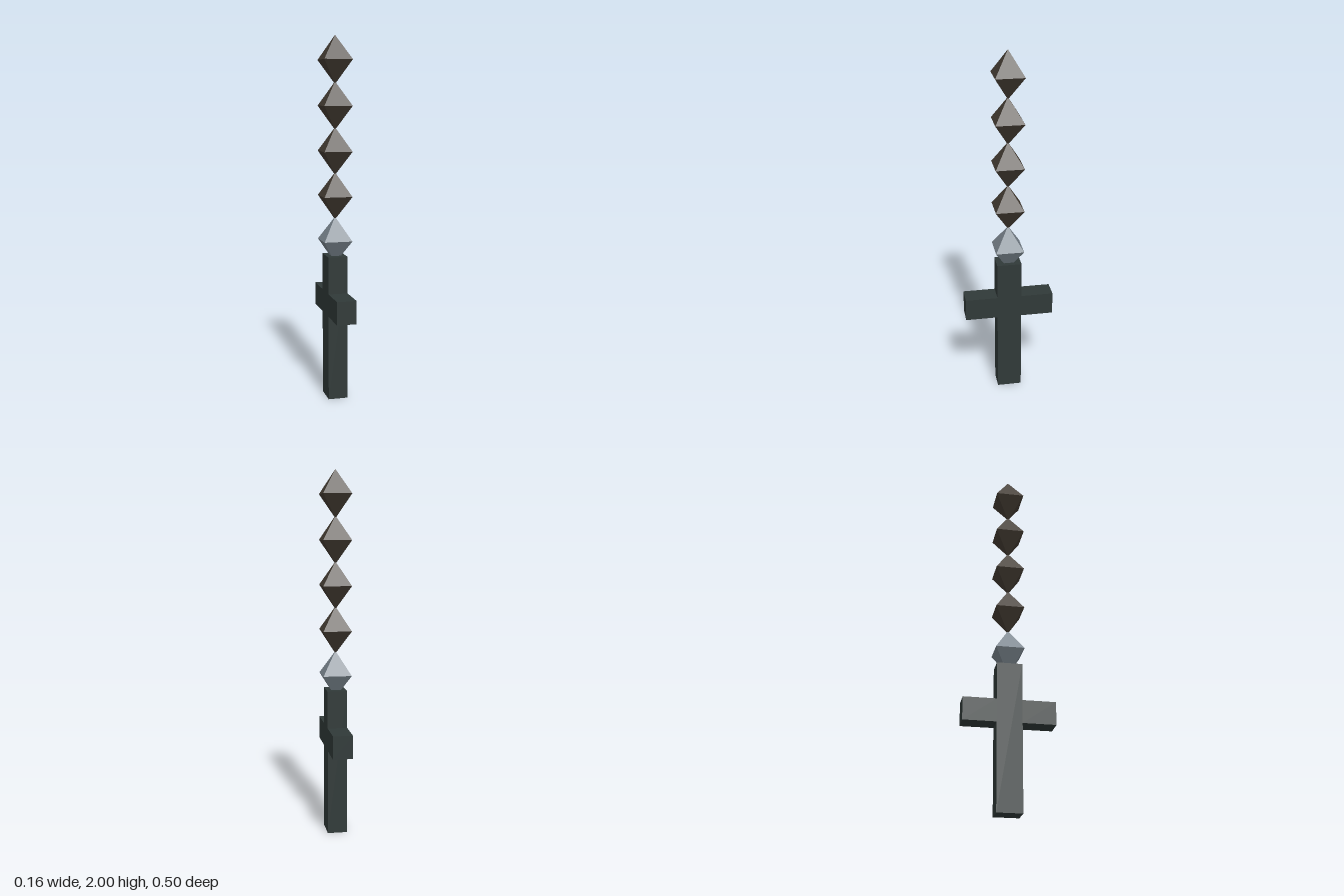
import * as THREE from 'three';

export function createModel() {
  const group = new THREE.Group();
  group.name = 'crystalSword';

  const material = (name, color) => {
    const m = new THREE.MeshStandardMaterial({ color });
    m.name = name;
    return m;
  };
  const hiltMaterial = material('dark slate', 0x303938);
  const bladeMaterial = material('dark brown', 0x423a31);
  const steelMaterial = material('steel grey', 0x78838c);

  const add = (name, geometry, mat, y, z = 0) => {
    const mesh = new THREE.Mesh(geometry, mat);
    mesh.name = name;
    mesh.position.set(0, y, z);
    group.add(mesh);
  };

  // Cross-shaped hilt: grip with a guard arm on each side
  const thickness = 0.108, gripDepth = 0.137, gripHeight = 0.805;
  add('grip', new THREE.BoxGeometry(thickness, gripHeight, gripDepth), hiltMaterial, gripHeight / 2);
  const armLength = 0.249 - gripDepth / 2;
  for (const side of [1, -1]) {
    add(side > 0 ? 'frontGuard' : 'backGuard',
      new THREE.BoxGeometry(thickness, 0.127, armLength),
      hiltMaterial, 0.536, side * (gripDepth / 2 + armLength / 2));
  }

  // Blade: a stack of square bipyramids, the lowest one in steel
  const halfWidth = 0.078, halfHeight = 0.13, spacing = 0.245;
  const crystal = new THREE.OctahedronGeometry(halfWidth * Math.SQRT2);
  crystal.rotateY(Math.PI / 4);
  crystal.scale(1, halfHeight / (halfWidth * Math.SQRT2), 1);
  crystal.computeVertexNormals();
  for (let i = 0; i < 5; i++) {
    add(i === 0 ? 'bladeCollar' : `bladeCrystal${i}`, crystal,
      i === 0 ? steelMaterial : bladeMaterial, 0.89 + i * spacing);
  }

  return group;
}
